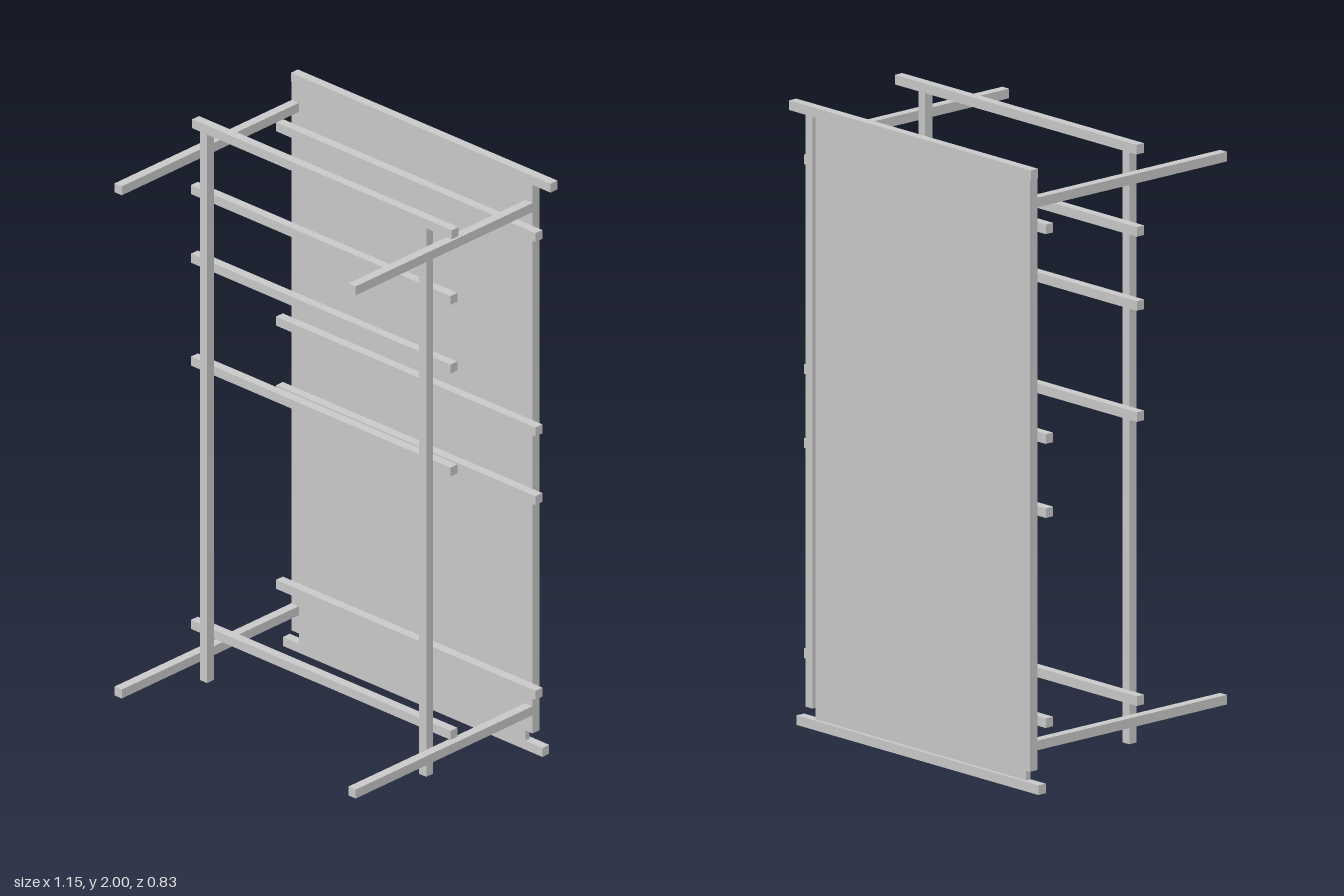
import * as THREE from 'three';

const T = 0.031; // square section of every batten

export function createModel() {
  const group = new THREE.Group();
  const material = new THREE.MeshStandardMaterial({ color: 0xcccccc, flatShading: true });

  // Box given by its extents along x, y and z
  const box = (name, [x0, x1], [y0, y1], [z0, z1]) => {
    const mesh = new THREE.Mesh(new THREE.BoxGeometry(x1 - x0, y1 - y0, z1 - z0), material);
    mesh.position.set((x0 + x1) / 2, (y0 + y1) / 2, (z0 + z1) / 2);
    mesh.name = name;
    group.add(mesh);
  };
  const around = (c) => [c - T / 2, c + T / 2];

  const backZ = [-0.414, -0.383];
  const backBarZ = [-0.383, -0.352];
  const frontZ = [0.03, 0.061];
  const frontBarZ = [-0.001, 0.03];
  const topRailX = [-0.538, 0.573];
  const barX = [-0.573, 0.538];
  const postY = [0.067, 2 - T];

  // Back panel, set between the back posts
  box('backPanel', [-0.504, 0.465], [T, 2 - T], [-0.402, -0.383]);

  // Posts
  for (const x of [-0.52, 0.481]) box('backPost', around(x), postY, backZ);
  for (const x of [-0.489, 0.449]) box('frontPost', around(x), postY, frontZ);

  // Top and bottom rails
  box('backTopRail', topRailX, [2 - T, 2], backZ);
  box('frontTopRail', topRailX, [2 - T, 2], frontZ);
  box('backBottomRail', barX, [0, T], backZ);

  // Cross bars
  for (const y of [0.225, 0.9, 1.138, 1.812]) box('backCrossBar', barX, around(y), backBarZ);
  for (const y of [0.225, 1.138, 1.495, 1.733]) box('frontCrossBar', barX, around(y), frontBarZ);

  // Arms running from the back frame past the front frame
  for (const x of [-0.52, 0.481])
    for (const y of [0.146, 1.891]) box('sideArm', around(x), around(y), [-0.383, 0.412]);

  return group;
}
